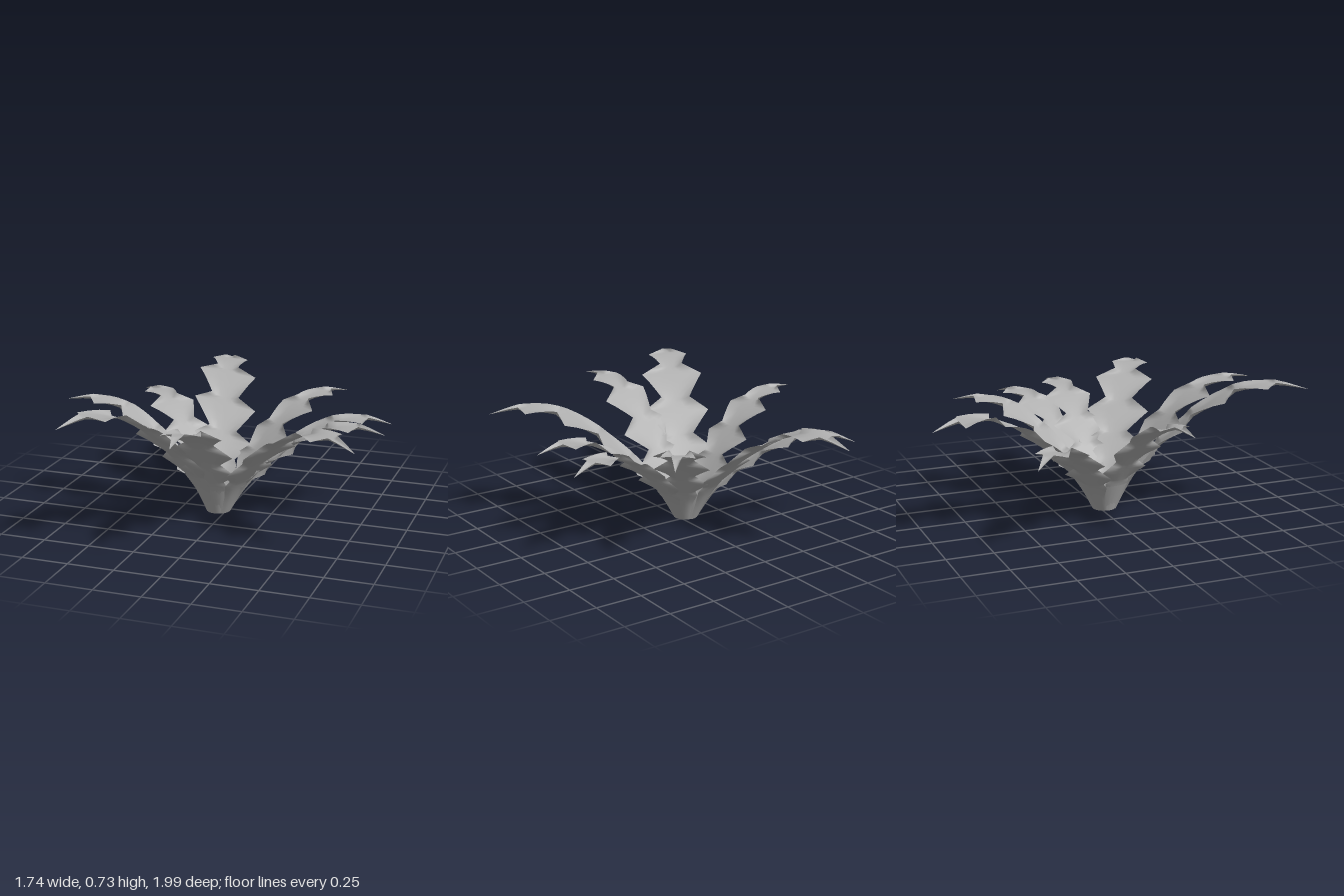
import * as THREE from 'three';

const leafGray = new THREE.MeshStandardMaterial({ color: 0xb0b0b0, side: THREE.DoubleSide });
leafGray.name = 'leafGray';

const CENTER = [-0.045, 0.03];
const BASE_R = 0.066;

// tip of every leaf: x, height, z, then sideways skew and advance of its teeth
const TIPS = [
  [-0.32, 0.6, -1.0, -0.3, 0.3], [0.49, 0.55, -0.66, 0, 0], [0.84, 0.485, -0.29, 0, 0],
  [0.87, 0.52, 0.03, 0, 0], [0.85, 0.595, 0.6, 0, 0], [0.035, 0.64, 0.95, 0.18, 0],
  [-0.54, 0.69, 0.99, 0, 0], [-0.87, 0.595, 0.17, 0, 0], [-0.72, 0.47, -0.59, 0, 0],
];

// bulge of the midrib above the straight line from base to tip
const arch = new THREE.SplineCurve([
  [0, 0], [0.08, 0.047], [0.17, 0.092], [0.25, 0.117], [0.35, 0.143], [0.47, 0.163],
  [0.6, 0.174], [0.7, 0.167], [0.8, 0.142], [0.9, 0.088], [1, 0],
].map(p => new THREE.Vector2(...p)));
const archPoints = arch.getPoints(200);

function bulgeAt(t) {
  const i = Math.max(1, archPoints.findIndex(p => p.x >= t - 1e-6));
  const a = archPoints[i - 1], b = archPoints[i];
  return a.y + (b.y - a.y) * (t - a.x) / (b.x - a.x);
}

// toothed outline: fraction of length, half width, curl of the edge
const OUTLINE = [
  [0, 0.026, 0], [0.1, 0.047, 0.006], [0.17, 0.078, 0.006], [0.2, 0.068, 0.01],
  [0.285, 0.146, 0], [0.335, 0.07, 0.025],
  [0.465, 0.16, 0], [0.525, 0.07, 0.028],
  [0.685, 0.15, 0], [0.735, 0.055, 0.028],
  [0.863, 0.098, 0], [0.895, 0.03, 0.018], [1, 0.001, 0],
];

function makeLeaf([tx, ty, tz, skew, advance]) {
  const dx = tx - CENTER[0], dz = tz - CENTER[1];
  const reach = Math.hypot(dx, dz);
  const ux = dx / reach, uz = dz / reach;
  const length = Math.hypot(reach - BASE_R, ty);
  const cos = (reach - BASE_R) / length, sin = ty / length;
  const COLS = 6, STEPS = 3;

  // radius and height of the midrib
  const midrib = t => {
    const bulge = bulgeAt(t);
    return new THREE.Vector2(
      BASE_R + length * (t * cos - bulge * sin), length * (t * sin + bulge * cos));
  };

  const rows = [];
  for (let i = 0; i < OUTLINE.length - 1; i++) {
    for (let k = 0; k < STEPS; k++) {
      rows.push(OUTLINE[i].map((v, j) => THREE.MathUtils.lerp(v, OUTLINE[i + 1][j], k / STEPS)));
    }
  }
  rows.push(OUTLINE.at(-1));

  const pos = [], index = [];
  rows.forEach(([t, half, curl], i) => {
    const wrap = Math.max(0, 1 - t / 0.35);
    for (let c = 0; c <= COLS; c++) {
      const s = c / COLS * 2 - 1;
      const w = s * half * length / 1.06;
      const shifted = Math.min(1, t + (skew * w + advance * half) * (1 - wrap) / length);
      const p = midrib(shifted);
      const along = p.clone().sub(midrib(shifted - 0.02)).normalize();
      const lift = curl * s ** 4;
      // the base wraps around the axis, the blade lies flat with curled notches
      const out = p.x - wrap * w * w / (2 * p.x) - lift * along.y;
      pos.push(CENTER[0] + ux * out - uz * w, p.y + lift * along.x, CENTER[1] + uz * out + ux * w);
      if (i && c) {
        const d = i * (COLS + 1) + c, b = d - COLS - 1;
        index.push(b - 1, d, b, b - 1, d - 1, d);
      }
    }
  });
  const geo = new THREE.BufferGeometry();
  geo.setAttribute('position', new THREE.Float32BufferAttribute(pos, 3));
  geo.setIndex(index);
  geo.computeVertexNormals();
  return new THREE.Mesh(geo, leafGray);
}

export function createModel() {
  const group = new THREE.Group();
  group.name = 'rosettePlant';

  TIPS.forEach((tip, i) => {
    const leaf = makeLeaf(tip);
    leaf.name = `leaf${i + 1}`;
    group.add(leaf);
  });

  // open cone where the leaf bases overlap
  const sheath = new THREE.Mesh(
    new THREE.CylinderGeometry(0.138, 0.063, 0.16, 27, 1, true), leafGray);
  sheath.name = 'leafSheath';
  sheath.position.set(CENTER[0], 0.08, CENTER[1]);
  group.add(sheath);
  return group;
}
